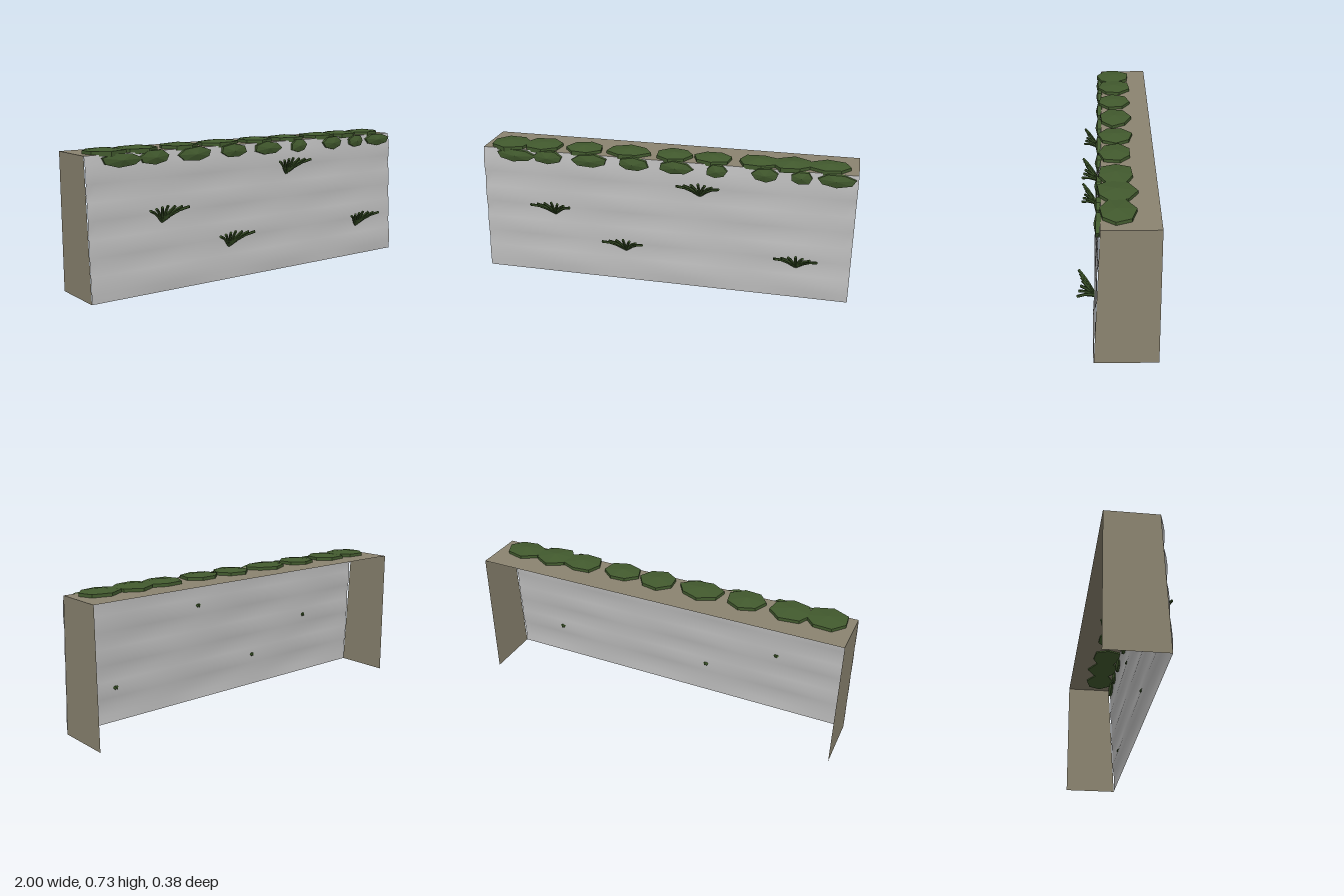
import * as THREE from 'three';

const W = 2, H = 0.7, BACK = -0.19;
const material = (name, color, extra = {}) => {
  const m = new THREE.MeshStandardMaterial({ color, ...extra });
  m.name = name;
  return m;
};
// straight front edge of the side panels
const edgeZ = (y) => 0.11 - 0.05 * y;

// small seeded random source
function seeded(seed) {
  let s = seed * 7919 + 17;
  return () => {
    s = (s * 16807) % 2147483647;
    return s / 2147483647;
  };
}

// low-poly leafy clump: seven-sided flattened ball with uneven corners
function clumpGeometry(rx, ry, rz, seed) {
  const rand = seeded(seed);
  for (let i = 0; i < 5; i++) rand();
  const turn = rand() * Math.PI;
  const reach = Array.from({ length: 7 }, () => 1 + rand() * 0.22);
  const g = new THREE.SphereGeometry(1, 7, 3);
  const p = g.attributes.position;
  for (let i = 0; i < p.count; i++) {
    const x = p.getX(i), y = p.getY(i), z = p.getZ(i);
    const a = Math.atan2(z, x);
    const k = ((Math.round((a / (2 * Math.PI)) * 7 + 3.5) % 7) + 7) % 7;
    const r = Math.hypot(x, z) * reach[k];
    p.setXYZ(i, Math.cos(a + turn) * r * rx, y * ry, Math.sin(a + turn) * r * rz);
  }
  g.computeVertexNormals();
  return g;
}

export function createModel() {
  const model = new THREE.Group();
  model.name = 'mossyLedge';
  const stone = material('pale stone', 0xbcbcbc, { side: THREE.DoubleSide });
  const earth = material('earth', 0x8b8470, { side: THREE.DoubleSide });
  const moss = material('moss green', 0x425a2e, { flatShading: true });
  const fern = material('fern green', 0x385026, { flatShading: true, side: THREE.DoubleSide });
  const add = (name, geometry, mat, parent = model) => {
    const mesh = new THREE.Mesh(geometry, mat);
    mesh.name = name;
    parent.add(mesh);
    return mesh;
  };

  // rock face: leaning sheet with four soft horizontal swells
  const wallZ = (x, y) => {
    const swell = Math.abs(Math.sin((Math.PI * y) / 0.175));
    return edgeZ(y) + 0.01 * swell * (0.72 + 0.28 * Math.sin(x * 9 + y * 8));
  };
  const face = new THREE.PlaneGeometry(W, H, 48, 16);
  face.translate(0, H / 2, 0);
  const fp = face.attributes.position;
  for (let i = 0; i < fp.count; i++) fp.setZ(i, wallZ(fp.getX(i), fp.getY(i)));
  face.computeVertexNormals();
  add('rockFace', face, stone);

  // side panels, open at the back and underneath
  const outline = new THREE.Shape();
  outline.moveTo(-BACK, 0);
  outline.lineTo(-edgeZ(0), 0);
  outline.lineTo(-edgeZ(H), H);
  outline.lineTo(-BACK, H);
  for (const s of [-1, 1]) {
    const g = new THREE.ShapeGeometry(outline);
    g.rotateY(Math.PI / 2);
    if (s < 0) g.scale(-1, 1, 1);
    // keep the winding outward on the mirrored side
    if (s < 0) {
      const idx = g.index.array;
      for (let i = 0; i < idx.length; i += 3) [idx[i], idx[i + 1]] = [idx[i + 1], idx[i]];
      g.computeVertexNormals();
    }
    add(s > 0 ? 'leftSide' : 'rightSide', g, earth).position.x = s * W / 2;
  }

  // flat top
  const depth = edgeZ(H) - BACK;
  const top = new THREE.PlaneGeometry(W, depth);
  top.rotateX(-Math.PI / 2);
  add('topGround', top, earth).position.set(0, H, BACK + depth / 2);

  // moss clumps lying on the top edge: x, half width, half depth
  const clumps = new THREE.Group();
  clumps.name = 'topMoss';
  model.add(clumps);
  [
    [-0.865, 0.108, 0.094], [-0.68, 0.108, 0.09], [-0.445, 0.1, 0.09],
    [-0.2, 0.112, 0.083], [0.045, 0.103, 0.092], [0.25, 0.098, 0.086],
    [0.49, 0.106, 0.088], [0.665, 0.108, 0.09], [0.855, 0.105, 0.083],
  ].forEach(([x, rx, rz], i) => {
    const g = clumpGeometry(rx * 1.06, 0.024, rz * 1.06, i + 1);
    add('mossClump', g, moss, clumps).position.set(x, 0.704, 0.003);
  });

  // clumps hanging over the edge: x, half width
  const hanging = new THREE.Group();
  hanging.name = 'hangingMoss';
  model.add(hanging);
  [
    [-0.81, 0.105], [-0.63, 0.085], [-0.395, 0.098], [-0.16, 0.08], [0.07, 0.09],
    [0.285, 0.056], [0.535, 0.07], [0.718, 0.058], [0.89, 0.098],
  ].forEach(([x, rx], i) => {
    const g = clumpGeometry(rx * 1.05, 0.022, 0.037, i + 21);
    g.rotateX(Math.PI / 2);
    add('hangingClump', g, moss, hanging).position.set(x, 0.67, 0.083);
  });

  // ferns: seven curved blades fanning out of one root
  [[-0.6, 0.35], [-0.2, 0.175], [0.2, 0.525], [0.72, 0.175]].forEach(([x, y]) => {
    const plant = new THREE.Group();
    plant.name = 'fern';
    plant.position.set(x, y, edgeZ(y) - 0.002);
    model.add(plant);
    for (let i = -3; i <= 3; i++) {
      const t = i / 3, a = Math.abs(t);
      const path = new THREE.QuadraticBezierCurve3(
        new THREE.Vector3(0, 0, 0),
        new THREE.Vector3(t * 0.064, 0.064, 0.048),
        new THREE.Vector3(t * 0.11, 0.088 - 0.012 * a, 0.064 + 0.02 * a),
      );
      add('blade', new THREE.TubeGeometry(path, 3, 0.0075, 5), fern, plant);
      // blunt tip
      const tip = new THREE.CircleGeometry(0.0075, 5);
      tip.lookAt(path.getTangent(1));
      add('bladeTip', tip, fern, plant).position.copy(path.getPoint(1));
    }
  });

  return model;
}
